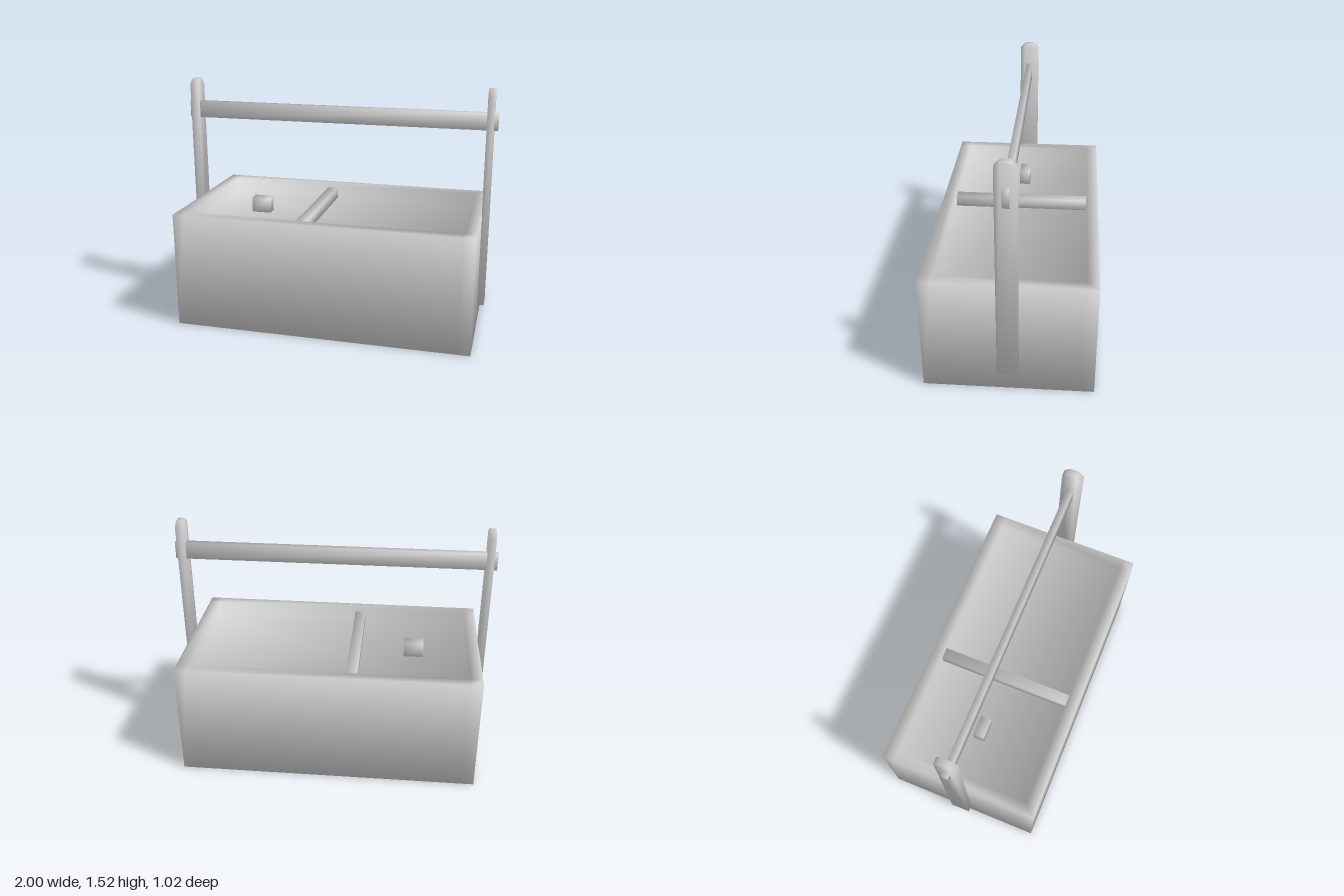
import * as THREE from 'three';
import { mergeGeometries } from 'three/addons/utils/BufferGeometryUtils.js';

const material = new THREE.MeshStandardMaterial({ color: 0xcccccc });

// Soft shading: each corner averages the directions of the faces that meet there.
function soften(geometry) {
  const flat = geometry.index ? geometry.toNonIndexed() : geometry;
  flat.computeVertexNormals();
  const { position, normal } = flat.attributes;
  const corners = new Map();
  const keyOf = (i) =>
    [position.getX(i), position.getY(i), position.getZ(i)].map((v) => Math.round(v * 1e4)).join();
  for (let i = 0; i < position.count; i++) {
    const n = new THREE.Vector3().fromBufferAttribute(normal, i);
    const faces = corners.get(keyOf(i)) ?? [];
    if (!faces.some((f) => f.dot(n) > 0.99)) faces.push(n);
    corners.set(keyOf(i), faces);
  }
  for (let i = 0; i < position.count; i++) {
    const sum = new THREE.Vector3();
    corners.get(keyOf(i)).forEach((f) => sum.add(f));
    sum.normalize();
    normal.setXYZ(i, sum.x, sum.y, sum.z);
  }
  return flat;
}

function part(name, geometry, x, y, z) {
  const mesh = new THREE.Mesh(soften(geometry), material);
  mesh.name = name;
  mesh.position.set(x, y, z);
  return mesh;
}

// Tray: a block whose top middle panel is replaced by a shallow recess.
function trayGeometry(w, h, d, wall, depth) {
  const outer = new THREE.BoxGeometry(w, h, d, 3, 1, 3);
  const p = outer.attributes.position;
  const toWall = (v, size) =>
    Math.abs(v) < size * 0.4 ? Math.sign(v) * (size / 2 - wall) : v;
  for (let i = 0; i < p.count; i++) {
    p.setX(i, toWall(p.getX(i), w));
    p.setZ(i, toWall(p.getZ(i), d));
  }
  const outerIndex = Array.from(outer.index.array);
  outerIndex.splice(outer.groups[2].start + 4 * 6, 6);
  outer.setIndex(outerIndex);

  const recess = new THREE.BoxGeometry(w - 2 * wall, depth, d - 2 * wall);
  recess.translate(0, (h - depth) / 2, 0);
  const recessIndex = Array.from(recess.index.array);
  recessIndex.splice(recess.groups[2].start, 6);
  recess.setIndex(recessIndex.reverse());

  outer.clearGroups();
  recess.clearGroups();
  return mergeGeometries([outer, recess]);
}

// Upright board with clipped top corners, extruded along x.
function postGeometry(halfWidth, height, clip, thickness) {
  const shape = new THREE.Shape([
    [-halfWidth, 0], [halfWidth, 0], [halfWidth, height - clip],
    [halfWidth - clip, height], [clip - halfWidth, height], [-halfWidth, height - clip],
  ].map(([x, y]) => new THREE.Vector2(x, y)));
  const geometry = new THREE.ExtrudeGeometry(shape, { depth: thickness, bevelEnabled: false });
  return geometry.translate(0, 0, -thickness / 2).rotateY(Math.PI / 2);
}

export function createModel() {
  const group = new THREE.Group();
  group.name = 'toolTray';

  group.add(part('tray', trayGeometry(1.87, 0.736, 1.02, 0.074, 0.096), 0, 0.368, 0));
  group.add(part('divider', new THREE.BoxGeometry(0.07, 0.07, 0.87), -0.145, 0.675, 0));
  group.add(part('smallBlock', new THREE.BoxGeometry(0.125, 0.098, 0.07), -0.522, 0.689, -0.003));

  // Posts on both ends carry the handle bar through them.
  for (const [name, side] of [['leftPost', 1], ['rightPost', -1]]) {
    group.add(part(name, postGeometry(0.063, 1.38, 0.033, 0.042), side * 0.954, 0.137, 0));
  }
  group.add(part('handleBar', new THREE.BoxGeometry(2, 0.106, 0.04), 0, 1.318, 0));

  return group;
}
